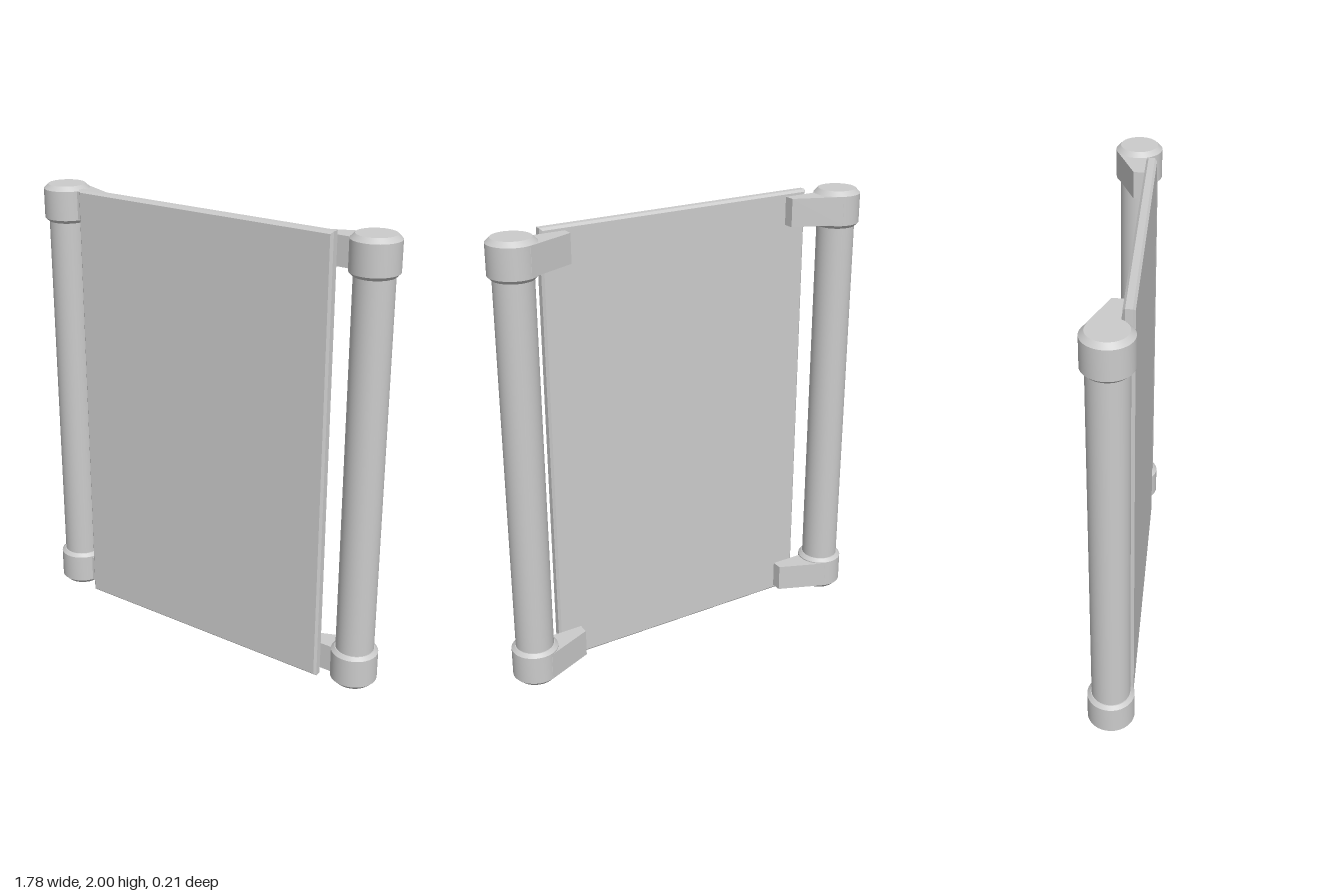
import * as THREE from 'three';
import { toCreasedNormals } from 'three/addons/utils/BufferGeometryUtils.js';

const material = new THREE.MeshStandardMaterial({ color: 0xcccccc });
const POST_X = 0.787;
const CAP_R = 0.103;
const CAP_H = 0.165;

function add(parent, geometry, name) {
  const mesh = new THREE.Mesh(geometry, material);
  mesh.name = name;
  parent.add(mesh);
  return mesh;
}

// Flat panel with chamfered edges all round
function panelGeometry() {
  const b = 0.01, w = 0.645 - b, h = 1 - b;
  const shape = new THREE.Shape([
    new THREE.Vector2(-w, -h), new THREE.Vector2(w, -h),
    new THREE.Vector2(w, h), new THREE.Vector2(-w, h),
  ]);
  const g = new THREE.ExtrudeGeometry(shape, {
    depth: 0.028, bevelEnabled: true, bevelSize: b, bevelThickness: b, bevelSegments: 1,
  });
  return g.translate(0, 1, 0.05);
}

// Chamfered collar, wide end chamfer at the bottom
function capGeometry() {
  const profile = [[0, 0], [0.083, 0], [CAP_R, 0.02], [CAP_R, 0.15], [0.088, CAP_H], [0, CAP_H]];
  const g = new THREE.LatheGeometry(profile.map(([r, y]) => new THREE.Vector2(r, y)), 48);
  return toCreasedNormals(g, 0.5);
}

// Tapered arm from the collar to the back of the panel; side is +1 or -1
function armGeometry(side) {
  const outline = [[POST_X, -0.04], [0.538, -0.04], [0.538, 0.008], [0.751, 0.097], [POST_X, 0.09]];
  const shape = new THREE.Shape(outline.map(([x, y]) => new THREE.Vector2(side * x, y)));
  const g = new THREE.ExtrudeGeometry(shape, { depth: 0.125, bevelEnabled: false });
  return g.rotateX(-Math.PI / 2);
}

export function createModel() {
  const model = new THREE.Group();
  model.name = 'panelBetweenPosts';
  add(model, panelGeometry(), 'panel');

  const cap = capGeometry();
  for (const side of [1, -1]) {
    const label = side > 0 ? 'left' : 'right';
    const assembly = new THREE.Group();
    assembly.name = label + 'PostAssembly';
    model.add(assembly);

    const post = add(assembly, new THREE.CylinderGeometry(0.084, 0.084, 1.8, 48), label + 'Post');
    post.position.set(side * POST_X, 1, 0);

    // Collars and arms at both ends
    const arm = armGeometry(side);
    for (const top of [false, true]) {
      const end = top ? 'Upper' : 'Lower';
      const collar = add(assembly, cap, label + end + 'Collar');
      collar.position.set(side * POST_X, top ? 2 : 0, 0);
      if (top) collar.rotation.x = Math.PI;
      add(assembly, arm, label + end + 'Arm').position.y = top ? 1.855 : 0.02;
    }
  }
  return model;
}
